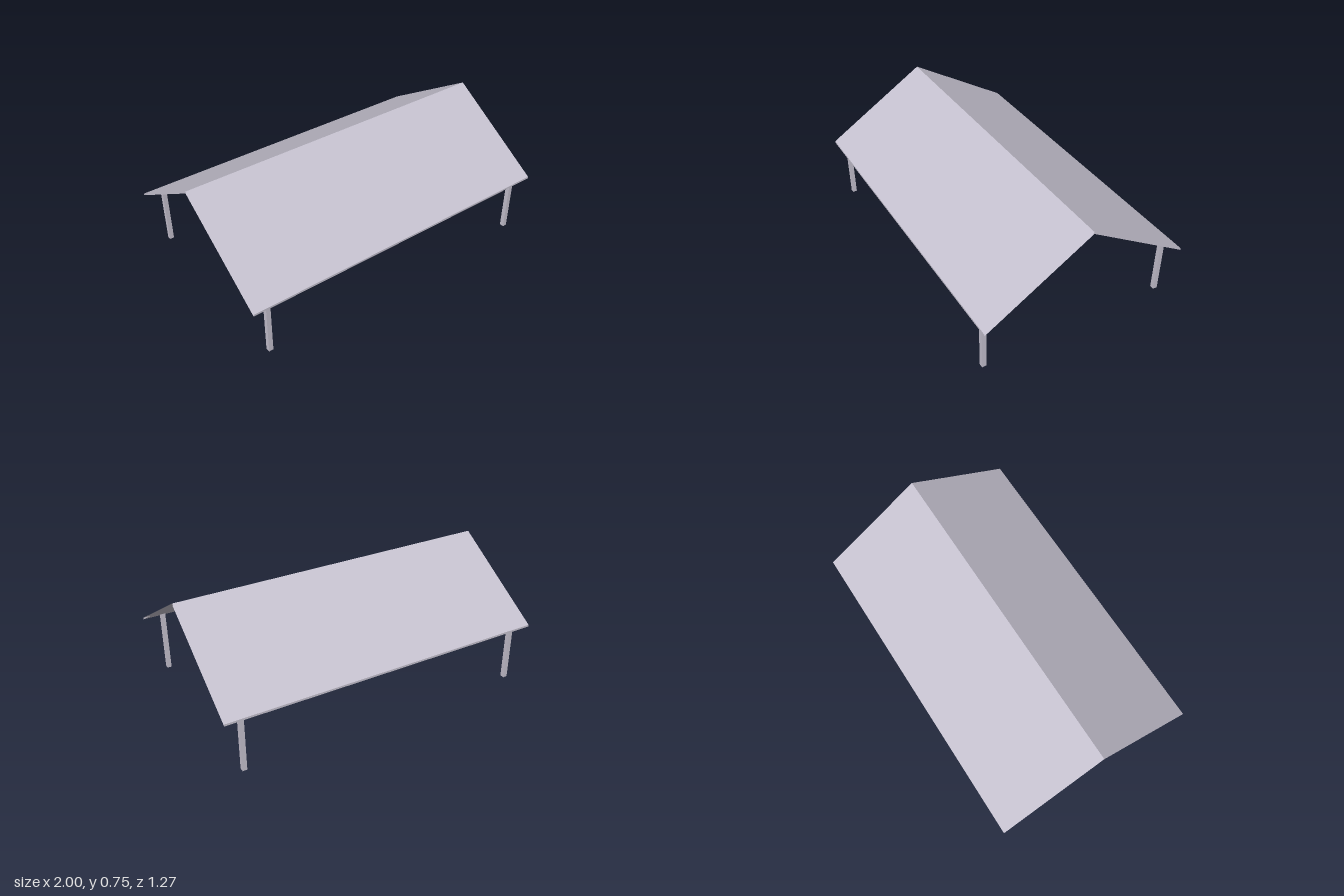
import * as THREE from 'three';

const EAVE_Z = 0.633, EAVE_Y = 0.35, RIDGE_Y = 0.739, THICK = 0.012;

// Height of the roof underside at a given z
const undersideY = (z) => RIDGE_Y - (RIDGE_Y - EAVE_Y) * Math.abs(z) / EAVE_Z;

// Flat sheet spanning the roof length between two (y, z) edges
function sheet(name, [y0, z0], [y1, z1], material) {
  const geometry = new THREE.PlaneGeometry(2, 1);
  const p = geometry.attributes.position;
  for (let i = 0; i < p.count; i++) {
    const upper = p.getY(i) > 0;
    p.setXYZ(i, p.getX(i), upper ? y1 : y0, upper ? z1 : z0);
  }
  geometry.computeVertexNormals();
  const mesh = new THREE.Mesh(geometry, material);
  mesh.name = name;
  return mesh;
}

// Square post whose top is cut to the roof slope
function post(name, x, z, material) {
  const size = 0.027;
  const box = new THREE.BoxGeometry(size, 1, size);
  const p = box.attributes.position;
  for (let i = 0; i < p.count; i++) {
    const vz = p.getZ(i) + z;
    p.setXYZ(i, p.getX(i) + x, p.getY(i) > 0 ? undersideY(vz) : 0, vz);
  }
  box.computeVertexNormals();
  const mesh = new THREE.Mesh(box, material);
  mesh.name = name;
  return mesh;
}

export function createModel() {
  const group = new THREE.Group();
  group.name = 'openShelter';
  const paleGrey = new THREE.MeshStandardMaterial({ color: 0xc6c2d0, side: THREE.DoubleSide });
  paleGrey.name = 'paleLilacGrey';

  for (const [side, s] of [['front', 1], ['back', -1]]) {
    // Roof slope: top sheet, underside and narrow eave strip, open at the gables
    const z = s * EAVE_Z;
    const low = [EAVE_Y, z], lowTop = [EAVE_Y + THICK, z];
    const ridge = [RIDGE_Y, 0], ridgeTop = [RIDGE_Y + THICK, 0];
    const top = sheet(side + 'RoofTop', lowTop, ridgeTop, paleGrey);
    const eave = sheet(side + 'Eave', low, lowTop, paleGrey);
    const under = sheet(side + 'RoofUnderside', ridge, low, paleGrey);
    // Turn the back sheets so their front faces point outwards
    if (s < 0) for (const m of [top, eave, under]) {
      m.geometry.index.array.reverse();
      m.geometry.computeVertexNormals();
    }
    group.add(top, eave, under);

    // Corner posts
    for (const [hand, x] of [['Left', 0.893], ['Right', -0.893]]) {
      group.add(post(side + hand + 'Post', x, s > 0 ? 0.582 : -0.585, paleGrey));
    }
  }
  return group;
}
